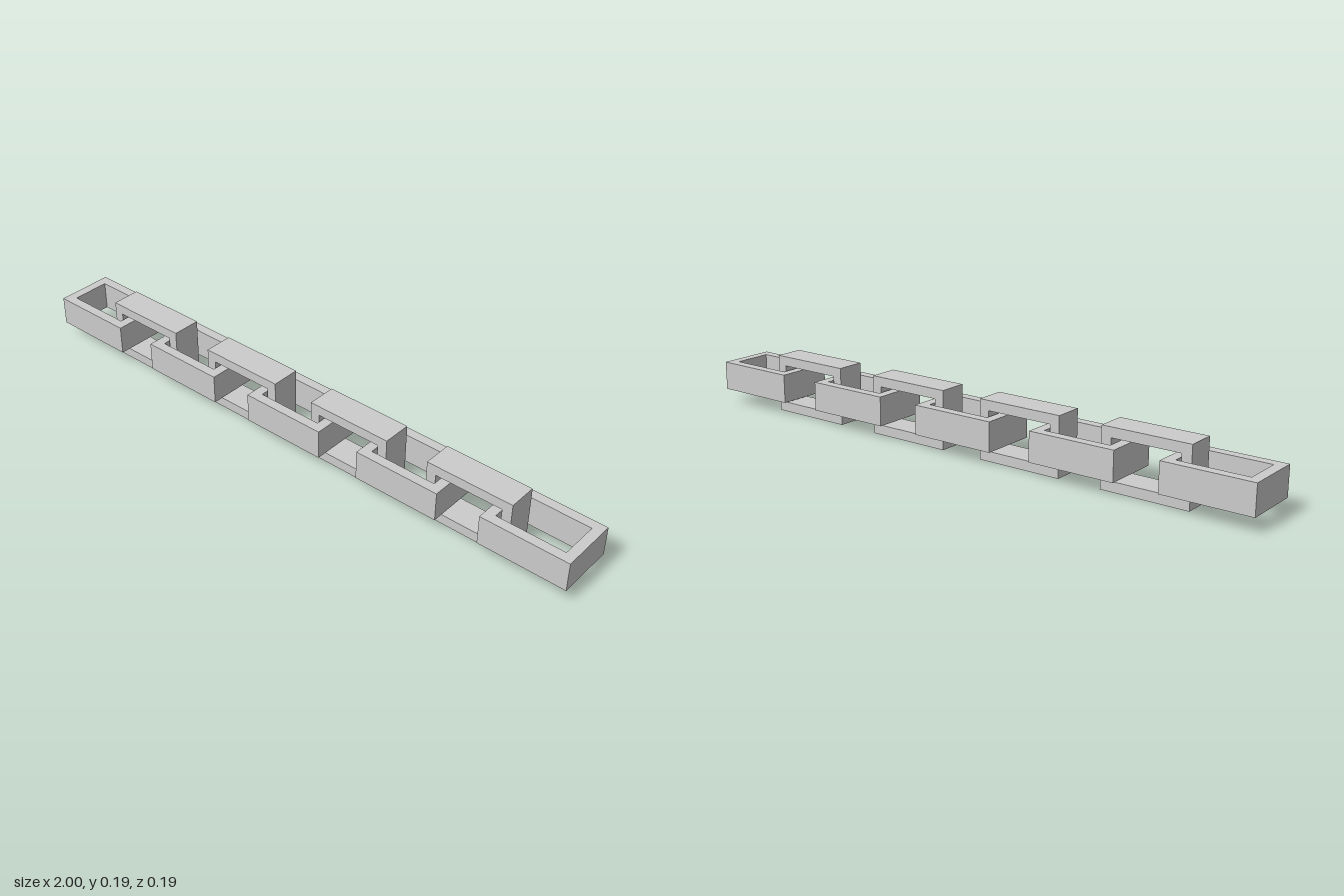
import * as THREE from 'three';

const LINKS = 9;
const LENGTH = 2 / 7;          // link length along x
const WIDTH = LENGTH * 2 / 3;  // link width across the opening
const DEPTH = LENGTH / 3;      // band depth
const WALL = LENGTH / 9;       // band thickness
const PITCH = LENGTH * 0.75;   // spacing between link centres

// Centred rectangle outline
function rectangle(path, w, h) {
  path.moveTo(-w / 2, -h / 2);
  path.lineTo(w / 2, -h / 2);
  path.lineTo(w / 2, h / 2);
  path.lineTo(-w / 2, h / 2);
  path.closePath();
  return path;
}

// Rectangular band with an open middle, centred on the origin
function linkGeometry() {
  const shape = rectangle(new THREE.Shape(), LENGTH, WIDTH);
  shape.holes.push(rectangle(new THREE.Path(), LENGTH - 2 * WALL, WIDTH - 2 * WALL));
  const geometry = new THREE.ExtrudeGeometry(shape, { depth: DEPTH, bevelEnabled: false });
  return geometry.translate(0, 0, -DEPTH / 2);
}

export function createModel() {
  const chain = new THREE.Group();
  chain.name = 'chain';
  const material = new THREE.MeshStandardMaterial({ color: 0xcccccc, flatShading: true });
  const geometry = linkGeometry();

  // Links alternate between lying flat and standing upright
  for (let i = 0; i < LINKS; i++) {
    const flat = i % 2 === 0;
    const link = new THREE.Mesh(geometry, material);
    link.name = (flat ? 'flatLink' : 'uprightLink') + (i + 1);
    link.position.set((i - (LINKS - 1) / 2) * PITCH, WIDTH / 2, 0);
    if (flat) link.rotation.x = Math.PI / 2;
    chain.add(link);
  }
  return chain;
}
